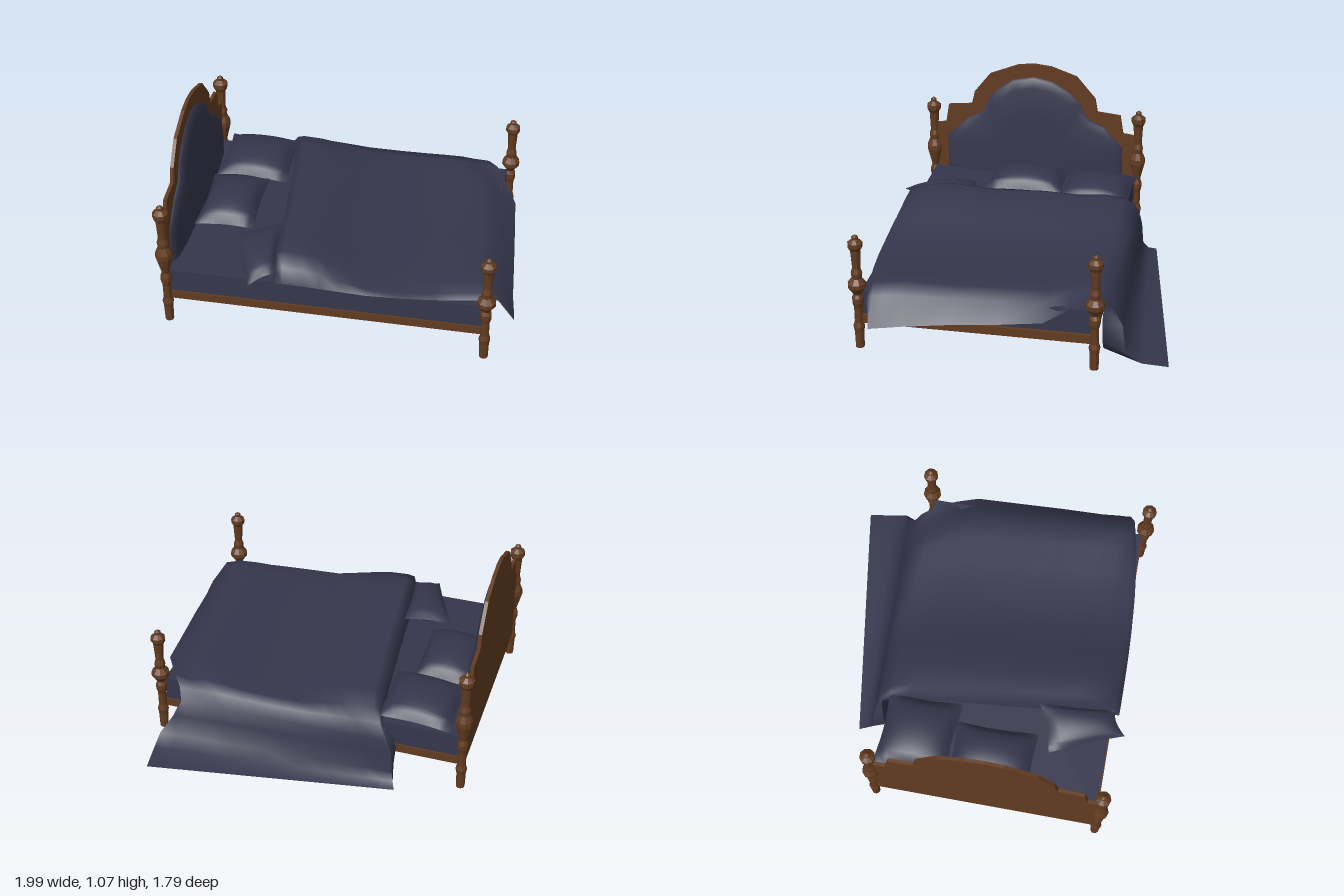
import * as THREE from 'three';

const wood = new THREE.MeshStandardMaterial({ color: 0x623b20, flatShading: true });
wood.name = 'brown wood';
const fabric = new THREE.MeshStandardMaterial({ color: 0x35364c, side: THREE.DoubleSide });
fabric.name = 'slate blue fabric';

function add(parent, name, geometry, material) {
  const mesh = new THREE.Mesh(geometry, material);
  mesh.name = name;
  parent.add(mesh);
  return mesh;
}

function box(parent, name, material, x0, x1, y0, y1, z0, z1) {
  const geo = new THREE.BoxGeometry(x1 - x0, y1 - y0, z1 - z0);
  geo.translate((x0 + x1) / 2, (y0 + y1) / 2, (z0 + z1) / 2);
  return add(parent, name, geo, material);
}

// Smooth surface over a grid of nu x nv cells; point(i, j) returns [x, y, z]
function surface(nu, nv, point) {
  const pos = [], index = [];
  for (let j = 0; j <= nv; j++) {
    for (let i = 0; i <= nu; i++) {
      pos.push(...point(i, j));
      if (i < nu && j < nv) {
        const a = j * (nu + 1) + i, b = a + nu + 1;
        index.push(a, b, a + 1, a + 1, b, b + 1);
      }
    }
  }
  const geo = new THREE.BufferGeometry();
  geo.setAttribute('position', new THREE.Float32BufferAttribute(pos, 3));
  geo.setIndex(index);
  geo.computeVertexNormals();
  return geo;
}

// Pillow between four corners, pinched edges, plump on top and flatter below
function pillow(parent, name, corners, top, bottom) {
  const [a, b, c, d] = corners.map((p) => new THREE.Vector3(...p));
  const mid = a.clone().add(b).add(c).add(d).multiplyScalar(0.25);
  const n = 12;
  const group = new THREE.Group();
  group.name = name;
  for (const [part, puff] of [['pillowTop', top], ['pillowBottom', -bottom]]) {
    add(group, part, surface(n, n, (i, j) => {
      const u = i / n, v = j / n;
      const p = a.clone().lerp(b, u).lerp(d.clone().lerp(c, u), v);
      const su = Math.sin(Math.PI * u), sv = Math.sin(Math.PI * v);
      p.lerp(mid, 0.07 * (su * (1 - sv) + sv * (1 - su)));
      p.y += puff * Math.pow(Math.max(su * sv, 0), 0.45);
      return p.toArray();
    }), fabric);
  }
  parent.add(group);
}

// Turned posts: [radius, height]
const postFoot = [
  [0, 0], [0.025, 0], [0.027, 0.1], [0.033, 0.13], [0.024, 0.16], [0.024, 0.25], [0.032, 0.28],
  [0.032, 0.31],
];
const footProfile = [
  ...postFoot, [0.021, 0.33], [0.052, 0.375], [0.052, 0.4], [0.029, 0.43], [0.032, 0.46],
  [0.023, 0.49], [0.03, 0.6], [0.042, 0.62], [0.042, 0.645], [0.018, 0.665], [0.018, 0.68], [0, 0.692],
];
const headProfile = [
  ...postFoot, [0.022, 0.34], [0.05, 0.45], [0.048, 0.48], [0.031, 0.52], [0.034, 0.55],
  [0.025, 0.58], [0.03, 0.7], [0.044, 0.725], [0.044, 0.755], [0.018, 0.775], [0.018, 0.79], [0, 0.805],
];

// Outlines across the headboard: [z, y]
const boardOutline = [
  [0.81, 0.15], [0.81, 0.63], [0.74, 0.64], [0.72, 0.76], [0.57, 0.775], [0.55, 0.86], [0.45, 0.985],
  [0.27, 1.055], [0.17, 1.067], [0.06, 1.055], [-0.1, 1.0], [-0.22, 0.86], [-0.235, 0.775],
  [-0.38, 0.76], [-0.4, 0.64], [-0.48, 0.63], [-0.48, 0.15],
];
const cushionOutline = [
  [0.73, 0.33], [0.73, 0.55], [0.66, 0.62], [0.6, 0.68], [0.5, 0.73], [0.45, 0.84], [0.4, 0.89],
  [0.3, 0.96], [0.17, 0.985], [0.05, 0.96], [-0.07, 0.89], [-0.13, 0.82], [-0.17, 0.73],
  [-0.28, 0.68], [-0.33, 0.62], [-0.4, 0.55], [-0.4, 0.33],
];

// Blanket cross-sections: [z head, z foot, x head, x foot, y foot hem, base y, hump scale]
const blanketRows = [
  [0.845, 0.725, -0.335, 0.995, 0.2, 0.345, 0.2],
  [0.81, 0.7, -0.34, 0.99, 0.205, 0.345, 0.9],
  [0.7, 0.65, -0.355, 0.985, 0.21, 0.345, 1.15],
  [0.57, 0.55, -0.37, 0.97, 0.22, 0.345, 1.25],
  [0.3, 0.3, -0.39, 0.95, 0.245, 0.345, 1],
  [0, 0, -0.42, 0.925, 0.265, 0.345, 1],
  [-0.2, -0.22, -0.44, 0.905, 0.285, 0.345, 0.85],
  [-0.36, -0.34, -0.46, 0.84, 0.335, 0.345, 0.9],
  [-0.48, -0.46, -0.48, 0.77, 0.365, 0.345, 0.7],
  [-0.545, -0.54, -0.5, 0.71, 0.345, 0.345, 0.25],
  [-0.57, -0.58, -0.53, 0.69, 0.28, 0.28, 0],
  [-0.58, -0.63, -0.56, 0.72, 0.21, 0.21, 0],
  [-0.59, -0.66, -0.57, 0.8, 0.08, 0.08, 0],
  [-0.62, -0.75, -0.585, 0.805, 0.035, 0.04, 0],
  [-0.67, -0.895, -0.605, 0.79, 0.02, 0.025, 0],
];
// Blanket height from head to foot: [fraction along, rise]
const blanketRise = [
  [0, 0.01], [0.015, 0.112], [0.045, 0.123], [0.13, 0.116], [0.2, 0.095], [0.28, 0.067], [0.39, 0.022],
  [0.55, 0.017], [0.67, 0.025], [0.78, 0.04], [0.86, 0.045], [0.93, 0.015], [1, 0],
];
// Inner layer of the hanging side, matching the last six rows: [x head, x foot, y, z]
const liningRows = [
  [-0.52, 0.71, 0.345, -0.53], [-0.55, 0.7, 0.28, -0.52], [-0.57, 0.7, 0.2, -0.515],
  [-0.56, 0.68, 0.08, -0.515], [-0.54, 0.67, 0.03, -0.52], [-0.53, 0.66, 0.02, -0.53],
];

export function createModel() {
  const bed = new THREE.Group();
  bed.name = 'bed';

  // Frame with a closed base, and mattress
  box(bed, 'bedBase', wood, -0.95, 0.845, 0.15, 0.2, -0.49, 0.815);
  box(bed, 'mattress', fabric, -0.935, 0.825, 0.2, 0.34, -0.48, 0.805);

  // Posts
  for (const z of [-0.495, 0.82]) {
    for (const [x, profile, name] of [[-0.945, headProfile, 'headPost'], [0.845, footProfile, 'footPost']]) {
      const geo = new THREE.LatheGeometry(profile.map((p) => new THREE.Vector2(...p)), 9);
      add(bed, name, geo, wood).position.set(x, 0, z);
    }
  }

  // Stepped, arched headboard
  const shape = new THREE.Shape(boardOutline.map(([z, y]) => new THREE.Vector2(-z, y)));
  const board = new THREE.ExtrudeGeometry(shape, { depth: 0.02, bevelEnabled: false });
  board.rotateY(Math.PI / 2).translate(-0.957, 0, 0);
  add(bed, 'headboard', board, wood);

  // Padded panel bulging from the headboard
  const rings = [[1, -0.94], [0.985, -0.922], [0.9, -0.905], [0.65, -0.893], [0.3, -0.889], [0, -0.888]];
  add(bed, 'headboardCushion', surface(cushionOutline.length - 1, rings.length - 1, (i, j) => {
    const [s, x] = rings[j], [z, y] = cushionOutline[i];
    return [x, 0.33 + (y - 0.33) * s, 0.165 + (z - 0.165) * s];
  }), fabric);

  // Pillows
  pillow(bed, 'rightPillow',
    [[-0.88, 0.375, -0.51], [-0.45, 0.385, -0.49], [-0.44, 0.385, -0.05], [-0.88, 0.375, -0.08]], 0.085, 0.035);
  pillow(bed, 'middlePillow',
    [[-0.89, 0.37, -0.08], [-0.55, 0.38, -0.08], [-0.54, 0.38, 0.41], [-0.89, 0.37, 0.41]], 0.095, 0.035);
  pillow(bed, 'leftPillow',
    [[-0.64, 0.38, 0.48], [-0.37, 0.43, 0.38], [-0.33, 0.41, 0.81], [-0.46, 0.37, 0.895]], 0.055, 0.045);

  // Blanket, falling over the foot and trailing onto the floor at the right side
  const blanketPoint = (i, j) => {
    const [zHead, zFoot, xHead, xFoot, yFoot, yBase, hump] = blanketRows[j];
    const [t, rise] = blanketRise[i];
    const x = xHead + (xFoot - xHead) * t;
    const y = t === 1 ? yFoot : yBase + hump * rise;
    const bend = yBase < 0.3 ? t : t * t * t;
    return [x, y, zHead + (zFoot - zHead) * bend];
  };
  const last = blanketRise.length - 1, hem = blanketRows.length - 1;
  add(bed, 'blanket', surface(last, hem, blanketPoint), fabric);

  // Inner layer of the hanging side, with its folded ends and underside
  const lower = liningRows.length - 1;
  const liningPoint = (end, j) => {
    const row = liningRows[j];
    return [row[end], row[2], row[3]];
  };
  const edgePoint = (end, j) => blanketPoint(end * last, hem - lower + j);
  add(bed, 'blanketLining', surface(1, lower, liningPoint), fabric);
  for (const end of [0, 1]) {
    add(bed, 'blanketEndFold', surface(1, lower,
      (i, j) => (i === 0 ? edgePoint(end, j) : liningPoint(end, j))), fabric);
  }
  add(bed, 'blanketUnderside', surface(1, 1,
    (i, j) => (j === 0 ? liningPoint(i, lower) : edgePoint(i, lower))), fabric);

  return bed;
}
